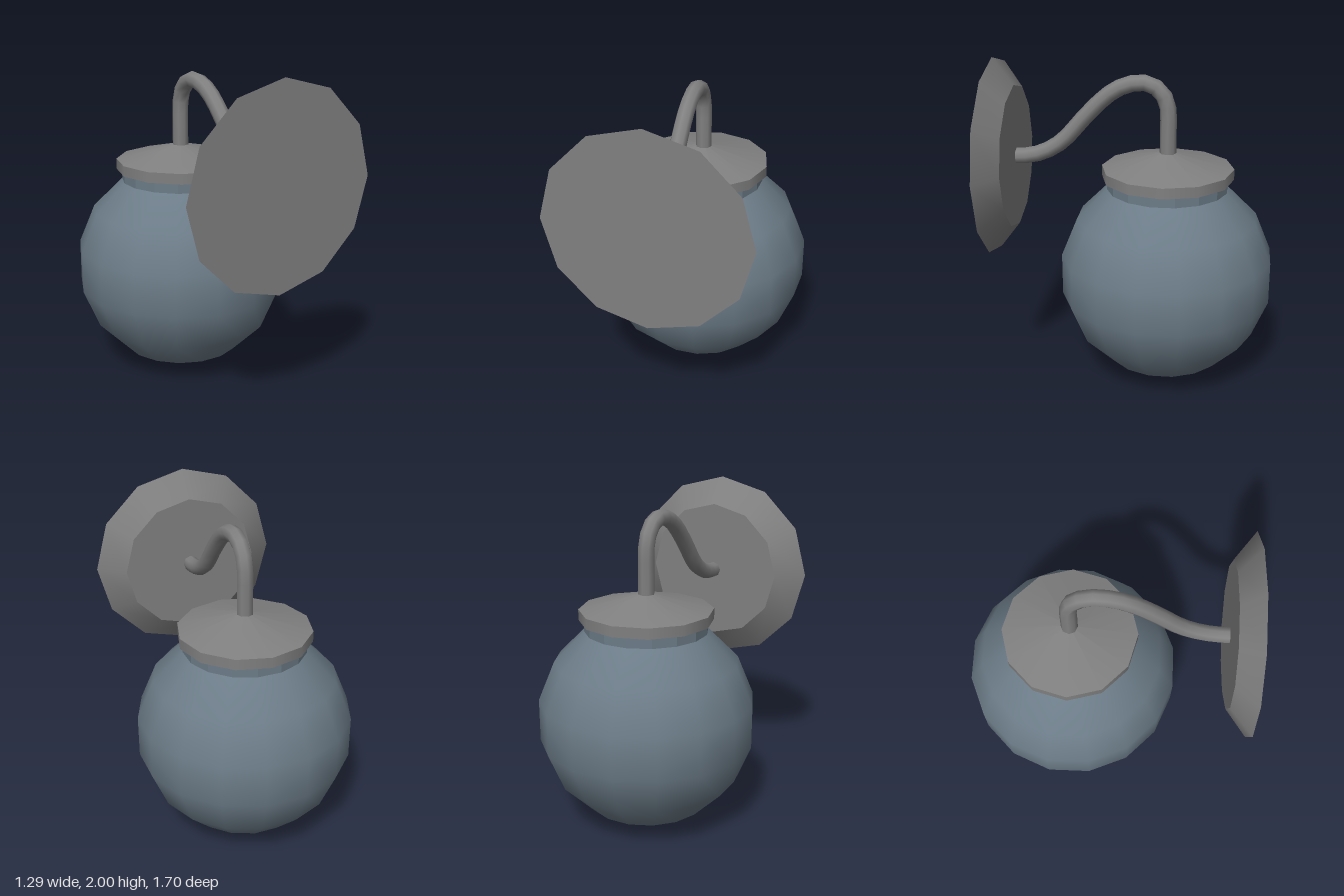
import * as THREE from 'three';

const AXIS_Z = -0.207; // depth of the hanging lamp's centre line

export function createModel() {
  const lamp = new THREE.Group();
  lamp.name = 'wallLamp';
  const metal = new THREE.MeshStandardMaterial({ color: 0x808080 });
  const glass = new THREE.MeshStandardMaterial({ color: 0x6c7c88, side: THREE.DoubleSide });
  const glassFlat = glass.clone();
  glassFlat.flatShading = true;

  function add(name, geometry, material, x, y, z) {
    const mesh = new THREE.Mesh(geometry, material);
    mesh.name = name;
    mesh.position.set(x, y, z);
    lamp.add(mesh);
    return mesh;
  }

  // Bevelled twelve-sided wall plate, wide side towards +z
  const plate = add('wallPlate', new THREE.CylinderGeometry(0.441, 0.606, 0.125, 12), metal, 0, 1.395, 0.7875);
  plate.rotation.x = -Math.PI / 2;

  // Swan-neck arm, from the plate up and over to the cap
  const path = [
    [0.74, 1.395], [0.66, 1.4], [0.59, 1.415], [0.5, 1.455], [0.42, 1.515], [0.3, 1.65],
    [0.17, 1.78], [0.09, 1.835], [0, 1.866], [-0.085, 1.866], [-0.155, 1.825],
    [-0.195, 1.76], [-0.207, 1.69], [-0.207, 1.56], [-0.207, 1.42],
  ].map(([z, y]) => new THREE.Vector3(0, y, z));
  add('arm', new THREE.TubeGeometry(new THREE.CatmullRomCurve3(path), 20, 0.05, 8), metal, 0, 0, 0);

  // Cap: shallow cone on a short rim
  add('capTop', new THREE.ConeGeometry(0.403, 0.103, 12, 1, true), metal, 0, 1.4065, AXIS_Z);
  add('capRim', new THREE.CylinderGeometry(0.403, 0.403, 0.065, 12), metal, 0, 1.3225, AXIS_Z);

  // Globe: sixteen-sided sphere, open at the top where the neck begins
  const R = 0.668, CY = 0.67;
  const profile = [new THREE.Vector2(0, 0.005)];
  for (let i = 0; i < 7; i++) {
    const a = (i + 0.5) * Math.PI / 8;
    profile.push(new THREE.Vector2(R * Math.sin(a), CY - R * Math.cos(a)));
  }
  add('globe', new THREE.LatheGeometry(profile, 16, Math.PI / 16), glass, 0, 0, AXIS_Z);

  // Glass neck between globe and cap
  add('globeNeck', new THREE.CylinderGeometry(0.371, 0.371, 0.07, 16, 1, true, Math.PI / 16), glassFlat, 0, 1.26, AXIS_Z);

  return lamp;
}
